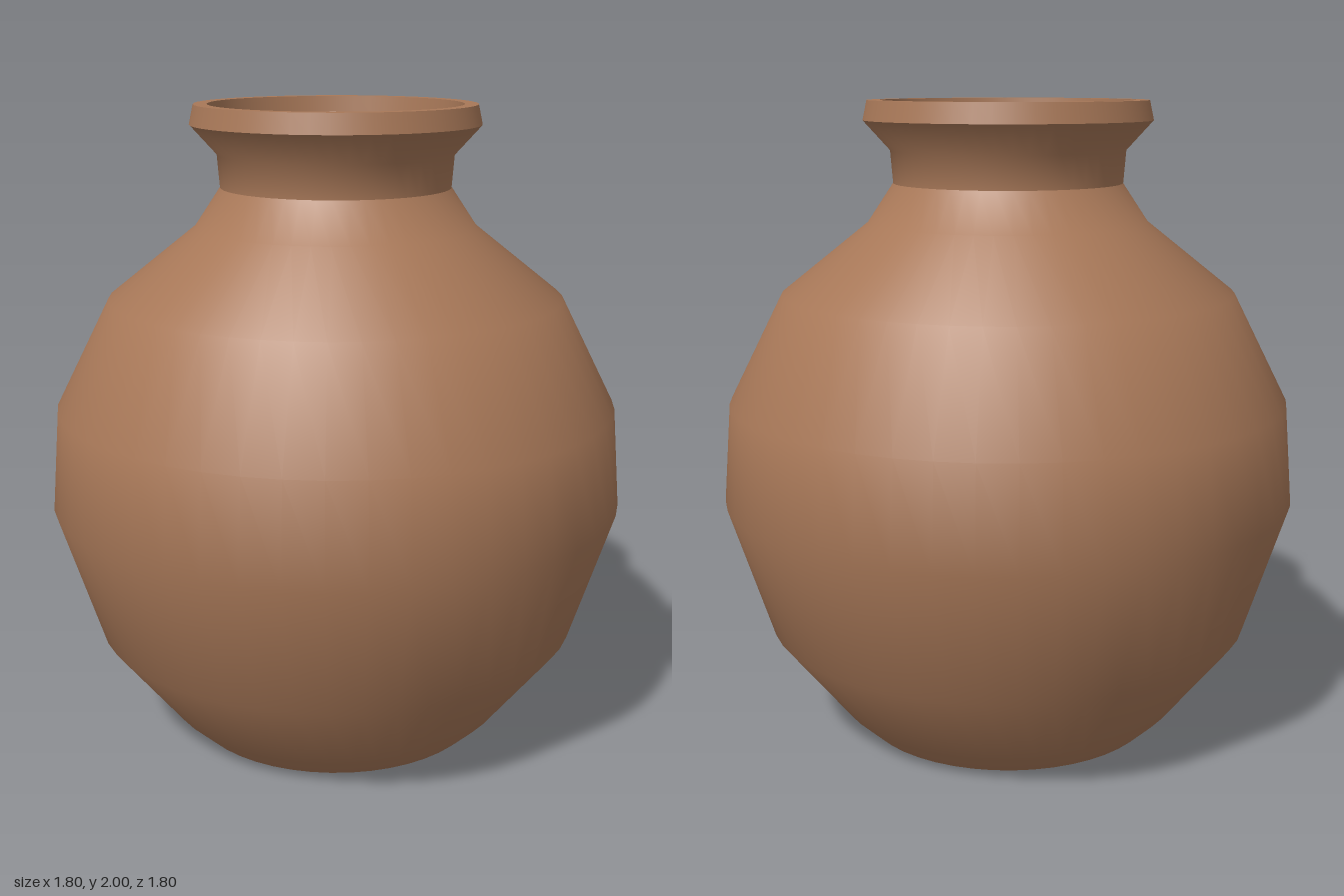
import * as THREE from 'three';

const SEGMENTS = 48;
const clay = new THREE.MeshStandardMaterial({ color: 0xa87858, side: THREE.DoubleSide });
const brokenClay = clay.clone();
brokenClay.flatShading = true;

// One smooth turned band; separate bands keep a sharp edge where they meet
function band(name, profile) {
  const points = profile.map(([r, y]) => new THREE.Vector2(r, y));
  const mesh = new THREE.Mesh(new THREE.LatheGeometry(points, SEGMENTS), clay);
  mesh.name = name;
  return mesh;
}

// A flat piece of broken clay, fanned from its first corner
function shard(...corners) {
  const positions = [];
  for (let i = 1; i < corners.length - 1; i++) {
    positions.push(...corners[0], ...corners[i], ...corners[i + 1]);
  }
  const geometry = new THREE.BufferGeometry();
  geometry.setAttribute('position', new THREE.Float32BufferAttribute(positions, 3));
  geometry.computeVertexNormals();
  const mesh = new THREE.Mesh(geometry, brokenClay);
  mesh.name = 'shard';
  return mesh;
}

export function createModel() {
  const pot = new THREE.Group();
  pot.name = 'clayPot';

  // Outside, from the base up to the lip
  pot.add(
    band('base', [[0, 0], [0.475, 0.01]]),
    band('body', [[0.475, 0.01], [0.55, 0.08], [0.765, 0.35], [0.9, 0.77], [0.875, 1.08],
      [0.705, 1.415], [0.435, 1.63], [0.355, 1.75]]),
    band('neck', [[0.355, 1.75], [0.363, 1.85], [0.445, 1.94]]),
    band('rimSide', [[0.445, 1.94], [0.432, 2]]),
    band('rimTop', [[0.432, 2], [0.39, 2]])
  );

  // Inside, from the lip down to the floor
  pot.add(
    band('mouth', [[0.39, 2], [0.385, 1.95]]),
    band('innerNeck', [[0.385, 1.95], [0.325, 1.86], [0.31, 1.75]]),
    band('innerWall', [[0.31, 1.75], [0.4, 1.59], [0.66, 1.38], [0.82, 1.07], [0.845, 0.77],
      [0.71, 0.38], [0.5, 0.12], [0, 0.08]])
  );

  // Broken pieces caught below the neck, meeting near the middle
  const hub = [0, 1.62, -0.1];
  const right = [0.09, 1.5, -0.06];
  const left = [-0.1, 1.56, -0.01];
  const front = [-0.04, 1.45, 0.08];
  const back = [-0.16, 1.55, -0.36];
  const backRight = [0.09, 1.4, -0.4];
  const sideRight = [0.42, 1.45, -0.25];
  const frontRight = [0.34, 1.35, 0.25];
  const frontLow = [0.24, 1.35, 0.32];
  const frontLeft = [-0.28, 1.5, 0.24];
  const sideLeft = [-0.4, 1.58, -0.07];
  const backLeft = [-0.3, 1.6, -0.19];
  const pieces = new THREE.Group();
  pieces.name = 'brokenPieces';
  pieces.add(
    shard(hub, back, backRight, right),
    shard(right, backRight, sideRight),
    shard(right, sideRight, frontRight),
    shard(hub, right, frontRight, frontLow, front),
    shard(front, frontLow, [0, 1.3, 0.42], frontLeft),
    shard(hub, front, frontLeft, left),
    shard(left, frontLeft, sideLeft),
    shard(left, sideLeft, backLeft),
    shard(hub, left, backLeft, back),
    // Upright fin leaning against the inside of the neck
    shard(hub, [-0.24, 1.84, 0.2], frontLeft, front)
  );
  pot.add(pieces);
  return pot;
}
